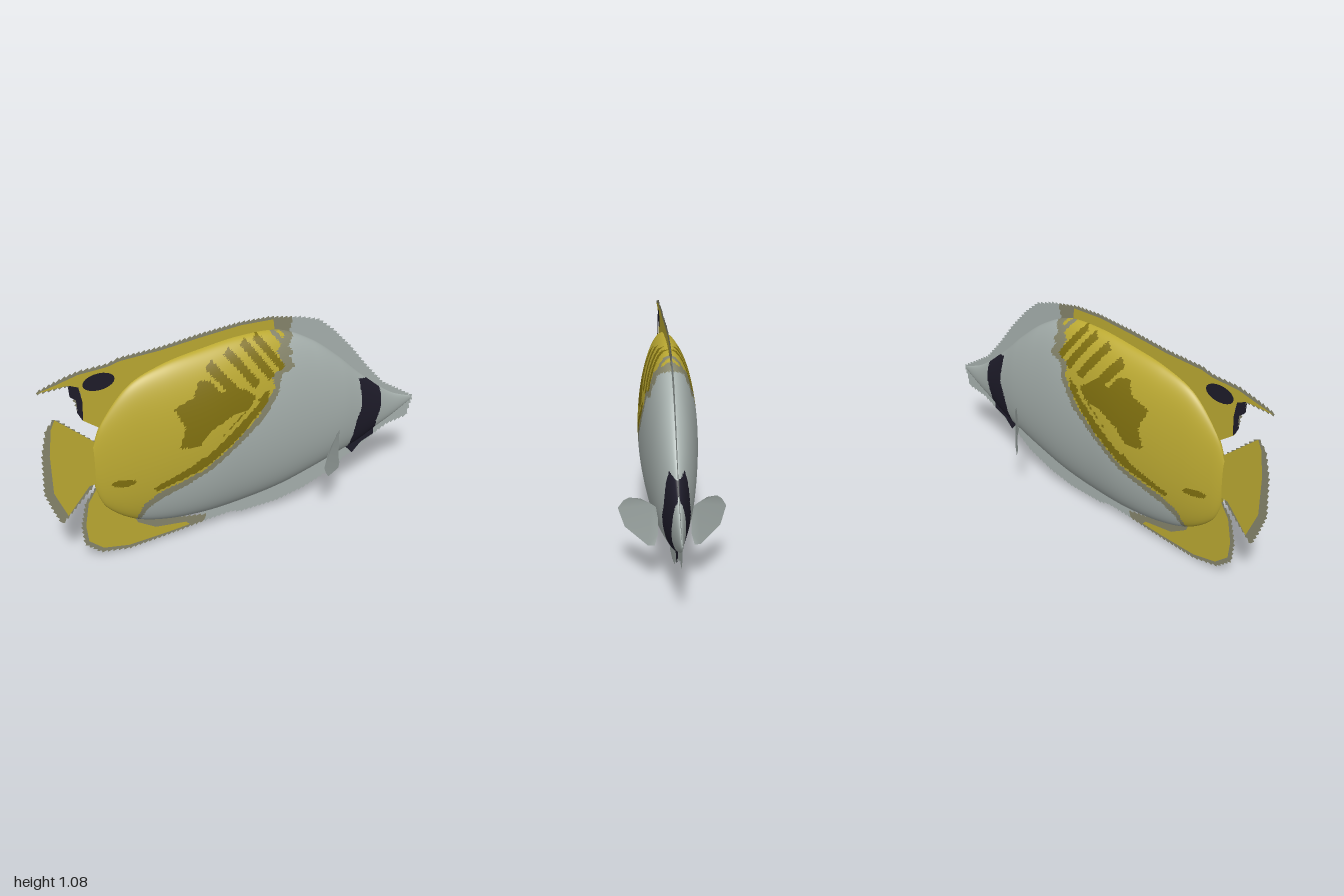
import * as THREE from 'three';

const mat = (name, color) => {
  const m = new THREE.MeshStandardMaterial({ color, side: THREE.DoubleSide });
  m.name = name;
  return m;
};
const vec = ([x, y]) => new THREE.Vector2(x, y);

// Points of a thick line, used for stripes
function strip(x1, y1, x2, y2, w) {
  const l = Math.hypot(x2 - x1, y2 - y1), nx = (y1 - y2) / l * w / 2, ny = (x2 - x1) / l * w / 2;
  return [[x1 + nx, y1 + ny], [x2 + nx, y2 + ny], [x2 - nx, y2 - ny], [x1 - nx, y1 - ny]];
}
function oval(cx, cy, rx, ry) {
  return Array.from({ length: 20 }, (_, i) => {
    const a = i / 20 * Math.PI * 2;
    return [cx + rx * Math.cos(a), cy + ry * Math.sin(a)];
  });
}
// Ragged edge: saw-tooth steps along every side of an outline
function serrate(pts, step = 0.026, depth = 0.01) {
  const out = [];
  pts.forEach(([x, y], i) => {
    const [x2, y2] = pts[(i + 1) % pts.length];
    const l = Math.hypot(x2 - x, y2 - y), n = Math.max(1, Math.round(l / step));
    for (let k = 0; k < n; k++) {
      const px = x + (x2 - x) * k / n, py = y + (y2 - y) * k / n;
      out.push([px, py]);
      if (n > 1) out.push([px + (x2 - x) / n * 0.15 + (y2 - y) / l * depth, py + (y2 - y) / n * 0.15 - (x2 - x) / l * depth]);
    }
  });
  return out;
}
function inside(x, y, poly) {
  let hit = false;
  for (let i = 0, j = poly.length - 1; i < poly.length; j = i++) {
    const [xi, yi] = poly[i], [xj, yj] = poly[j];
    if ((yi > y) !== (yj > y) && x < (xj - xi) * (y - yi) / (yj - yi) + xi) hit = !hit;
  }
  return hit;
}

// Body outline: x, top, bottom, half width
const PROFILE = [
  [-0.75, 0.61, 0.38, 0.012], [-0.70, 0.73, 0.27, 0.035], [-0.57, 0.88, 0.17, 0.075], [-0.40, 0.95, 0.12, 0.112],
  [-0.20, 0.985, 0.105, 0.137], [0, 1.005, 0.115, 0.137], [0.20, 0.99, 0.14, 0.127], [0.38, 0.9, 0.185, 0.108],
  [0.53, 0.78, 0.23, 0.085], [0.66, 0.655, 0.27, 0.055], [0.77, 0.56, 0.32, 0.032], [0.87, 0.49, 0.365, 0.016],
  [0.98, 0.445, 0.425, 0.003],
];

const HEAD_BAND = [[0.64, 0.64], [0.70, 0.62], [0.78, 0.55], [0.785, 0.46], [0.76, 0.37], [0.765, 0.28], [0.69, 0.25],
  [0.64, 0.2], [0.595, 0.25], [0.62, 0.42], [0.655, 0.5]];

// Painted areas of the flank, first match wins: [material index, outline]
const MARKS = [
  [4, HEAD_BAND],
  [2, oval(-0.63, 0.41, 0.055, 0.02)],
  // rear blotch
  [2, [[-0.385, 0.76], [-0.29, 0.8], [-0.26, 0.87], [-0.2, 0.86], [-0.16, 0.8], [-0.06, 0.8], [0.02, 0.74], [-0.02, 0.69],
    [-0.12, 0.67], [-0.22, 0.62], [-0.28, 0.55], [-0.37, 0.56], [-0.34, 0.66]]],
  // slanting bars
  [2, strip(-0.2, 0.93, -0.06, 0.75, 0.05)],
  [2, strip(-0.1, 0.97, 0.03, 0.79, 0.042)],
  [2, strip(-0.01, 0.99, 0.11, 0.81, 0.04)],
  [2, strip(0.06, 1.0, 0.17, 0.84, 0.035)],
  [3, strip(0.14, 1.03, 0.23, 0.89, 0.025)],
  // border stripes
  [1, strip(0.03, 0.715, -0.26, 0.49, 0.022)],
  [2, [[0.09, 0.76], [0.08, 0.7], [-0.08, 0.55], [-0.25, 0.43], [-0.48, 0.34], [-0.5, 0.36], [-0.3, 0.46], [-0.06, 0.67]]],
  // yellow rear and its dull border
  [1, [[0.19, 1.1], [0.21, 0.97], [0.15, 0.92], [0.18, 0.85], [0.11, 0.82], [0.12, 0.76], [0.03, 0.64], [-0.1, 0.53],
    [-0.25, 0.42], [-0.47, 0.33], [-0.54, 0.27], [-0.57, 0.16], [-0.62, 0.1], [-1, 0.1], [-1, 1.1]]],
  [3, [[0.27, 1.1], [0.28, 0.97], [0.2, 0.92], [0.24, 0.83], [0.16, 0.81], [0.14, 0.73], [0.06, 0.62], [-0.08, 0.51],
    [-0.23, 0.4], [-0.46, 0.29], [-0.52, 0.24], [-0.55, 0.16], [-0.6, 0.05], [-1, 0.1], [-1, 1.1]]],
];

function buildBody(materials) {
  const NX = 180, NA = 200, pos = [], faces = materials.map(() => []);
  const curves = [1, 2, 3].map(k => new THREE.SplineCurve(PROFILE.map(p => vec([p[0], p[k]]))));
  for (let i = 0; i <= NX; i++) {
    const [t, b, w] = curves.map(c => c.getPoint(i / NX));
    for (let j = 0; j < NA; j++) {
      const a = j / NA * Math.PI * 2;
      pos.push(t.x, (t.y + b.y) / 2 + (t.y - b.y) / 2 * Math.cos(a), w.y * Math.sin(a));
    }
  }
  const paint = (...ids) => {
    const x = ids.reduce((s, q) => s + pos[q * 3], 0) / 3, y = ids.reduce((s, q) => s + pos[q * 3 + 1], 0) / 3;
    const mark = MARKS.find(m => inside(x, y, m[1]));
    faces[mark ? mark[0] : 0].push(...ids);
  };
  for (let i = 0; i < NX; i++) for (let j = 0; j < NA; j++) {
    const k = (j + 1) % NA, a = i * NA + j, b = i * NA + k, c = a + NA, d = b + NA;
    paint(a, b, c);
    paint(b, d, c);
  }
  const g = new THREE.BufferGeometry();
  g.setAttribute('position', new THREE.Float32BufferAttribute(pos, 3));
  g.setIndex(faces.flat());
  let start = 0;
  faces.forEach((f, m) => { g.addGroup(start, f.length, m); start += f.length; });
  g.computeVertexNormals();
  return new THREE.Mesh(g, materials);
}

export function createModel() {
  const grey = mat('paleGrey', 0xa8b2af), yellow = mat('yellow', 0xbcaa32), olive = mat('darkOlive', 0x80700f);
  const dull = mat('dullOlive', 0x87866c), black = mat('black', 0x1e1c2a);
  const fish = new THREE.Group();
  fish.name = 'fish';

  const body = buildBody([grey, yellow, olive, dull, black]);
  body.name = 'body';
  fish.add(body);

  // Flat fin sheet; a layer above 0 is laid on both sides
  const sheet = (name, pts, material, z = 0) => {
    const geo = new THREE.ShapeGeometry(new THREE.Shape(pts.map(vec)));
    for (const s of z ? [z, -z] : [0]) {
      const m = new THREE.Mesh(geo, material);
      m.name = name;
      m.position.z = s;
      fish.add(m);
    }
  };

  // Pale crest, snout and belly edge, listed anticlockwise
  sheet('crestAndBellyFin', serrate([[-0.25, 0.2], [-0.2, 0.045], [-0.05, 0.055], [0, 0.04], [0.2, 0.045], [0.35, 0.075],
    [0.5, 0.13], [0.59, 0.19], [0.66, 0.22], [0.77, 0.285], [0.84, 0.32], [0.96, 0.34], [0.975, 0.4], [0.99, 0.44],
    [0.9, 0.5], [0.8, 0.565], [0.7, 0.68], [0.6, 0.81], [0.5, 0.92], [0.42, 0.99], [0.32, 1.025], [0.2, 1.05], [0.1, 0.9]]), grey);
  sheet('headBandEdge', HEAD_BAND, black, 0.002);

  // Dorsal fin with black rear edge and eyespot
  sheet('dorsalFinEdge', serrate([[0.1, 0.9], [0.25, 0.96], [0.27, 1.035], [0.15, 1.06], [0, 1.066], [-0.2, 1.052], [-0.4, 1.03],
    [-0.6, 1.022], [-0.66, 1.005], [-0.8, 1.0], [-0.9, 0.975], [-0.99, 0.945], [-0.84, 0.95], [-0.8, 0.8], [-0.5, 0.8]]), dull, 0.001);
  sheet('dorsalFin', [[0.1, 0.9], [0.18, 0.97], [0.17, 1.05], [0, 1.056], [-0.2, 1.04], [-0.4, 1.02], [-0.6, 1.012],
    [-0.66, 0.997], [-0.8, 0.99], [-0.9, 0.965], [-0.99, 0.945], [-0.85, 0.95], [-0.79, 0.9], [-0.79, 0.76], [-0.71, 0.7],
    [-0.69, 0.62], [-0.5, 0.8]], yellow, 0.003);
  sheet('dorsalBlackEdge', [[-0.845, 0.95], [-0.8, 0.93], [-0.785, 0.85], [-0.79, 0.76], [-0.81, 0.8], [-0.815, 0.87], [-0.84, 0.89]], black, 0.005);
  sheet('eyespot', oval(-0.705, 0.935, 0.076, 0.042), black, 0.005);

  // Tail fin
  sheet('tailFinEdge', serrate([[-0.76, 0.41], [-0.72, 0.5], [-0.74, 0.63], [-0.92, 0.795], [-0.96, 0.75], [-0.985, 0.63],
    [-0.99, 0.43], [-0.955, 0.33], [-0.92, 0.25]], 0.03), dull);
  sheet('tailFin', [[-0.78, 0.41], [-0.69, 0.42], [-0.69, 0.6], [-0.74, 0.635], [-0.92, 0.795], [-0.94, 0.75], [-0.955, 0.62],
    [-0.95, 0.42], [-0.92, 0.35], [-0.89, 0.28]], yellow, 0.002);

  // Anal fin
  sheet('analFinEdge', serrate([[-0.745, 0.39], [-0.8, 0.32], [-0.825, 0.2], [-0.815, 0.1], [-0.74, 0.035], [-0.6, 0.01],
    [-0.4, 0.025], [-0.2, 0.045], [-0.19, 0.07], [-0.3, 0.09], [-0.5, 0.15], [-0.6, 0.3]]), dull, 0.001);
  sheet('analFin', [[-0.745, 0.39], [-0.79, 0.32], [-0.81, 0.2], [-0.8, 0.11], [-0.73, 0.05], [-0.6, 0.025],
    [-0.4, 0.035], [-0.28, 0.045], [-0.3, 0.065], [-0.46, 0.085], [-0.55, 0.14], [-0.6, 0.25], [-0.7, 0.38]], yellow, 0.003);

  // Pectoral fins: outline in z and y, swept back and cupped
  for (const side of [1, -1]) {
    const geo = new THREE.ShapeGeometry(new THREE.Shape([[0.075, 0.28], [0.09, 0.225], [0.12, 0.215], [0.17, 0.235], [0.22, 0.255],
      [0.235, 0.29], [0.25, 0.33], [0.225, 0.38], [0.2, 0.41], [0.15, 0.43], [0.1, 0.42], [0.075, 0.41]].map(vec)));
    const p = geo.attributes.position;
    for (let i = 0; i < p.count; i++) {
      const z = p.getX(i), y = p.getY(i);
      p.setXYZ(i, 0.575 - z + 0.025 * ((y - 0.33) / 0.1) ** 2, y, z * side);
    }
    geo.computeVertexNormals();
    const fin = new THREE.Mesh(geo, grey);
    fin.name = side > 0 ? 'frontPectoralFin' : 'backPectoralFin';
    fish.add(fin);
  }
  return fish;
}
